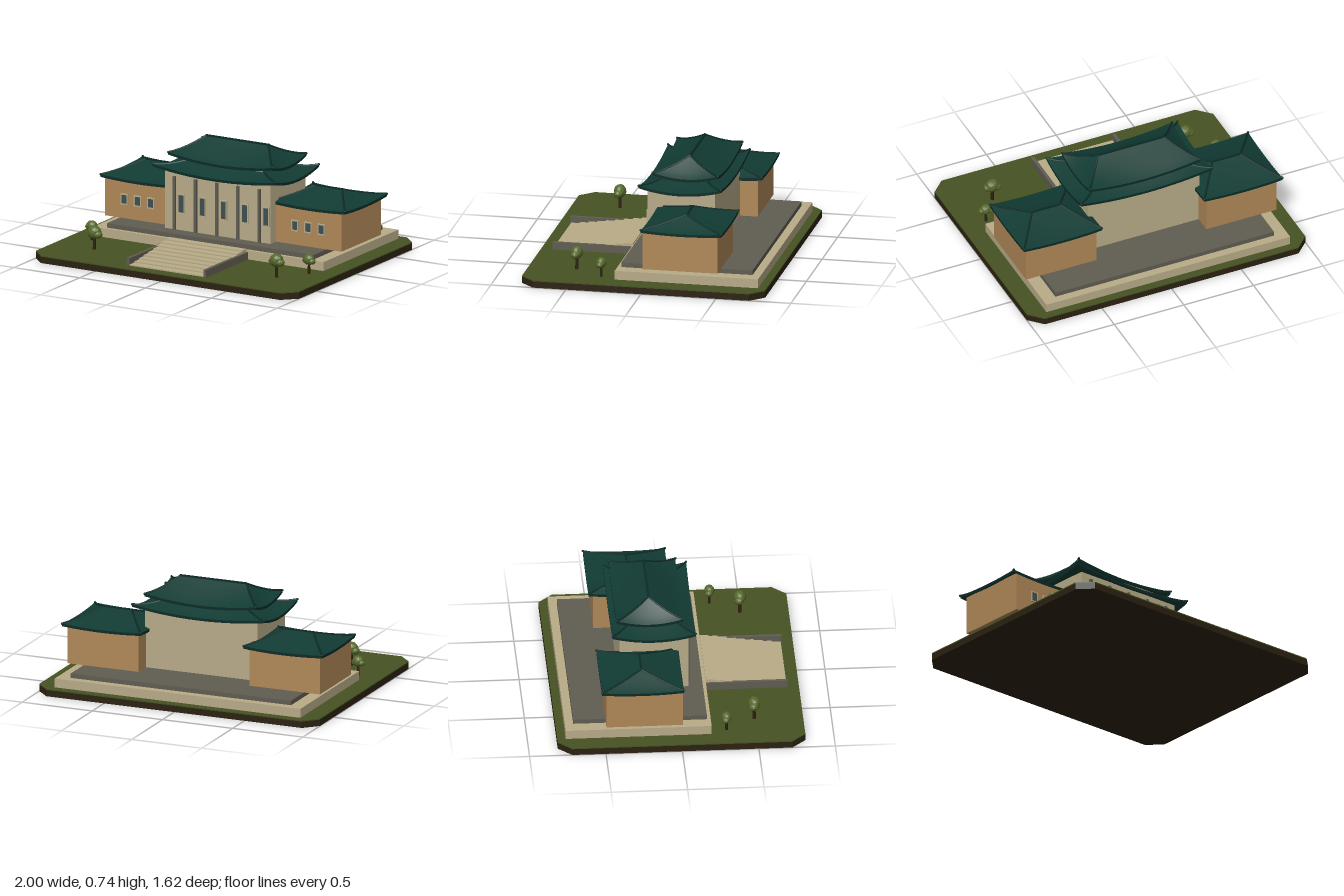
import * as THREE from 'three';

const mat = (name, color, extra = {}) => Object.assign(new THREE.MeshStandardMaterial({ color, ...extra }), { name });
const M = {
  soil: mat('soil', 0x2b2110),
  grass: mat('grass', 0x465222),
  cream: mat('cream stone', 0xb8ab88),
  gray: mat('gray stone', 0x605c52),
  ochre: mat('ochre wall', 0xb08858),
  roof: mat('green roof tile', 0x113b33),
  ridge: mat('dark ridge tile', 0x0b2b27),
  glass: mat('window glass', 0x3d5052),
  trunk: mat('trunk', 0x2e2012),
  leaf: mat('foliage', 0x56682a, { flatShading: true }),
};

function add(parent, name, geo, material, x = 0, y = 0, z = 0) {
  const m = new THREE.Mesh(geo, material);
  m.name = name;
  m.position.set(x, y, z);
  parent.add(m);
  return m;
}

// Box given by its limits on each axis
function block(parent, name, material, x0, x1, y0, y1, z0, z1) {
  return add(parent, name, new THREE.BoxGeometry(x1 - x0, y1 - y0, z1 - z0), material,
    (x0 + x1) / 2, (y0 + y1) / 2, (z0 + z1) / 2);
}

function group(parent, name, x = 0, y = 0, z = 0) {
  const g = new THREE.Group();
  g.name = name;
  g.position.set(x, y, z);
  parent.add(g);
  return g;
}

// Grid surface from a function of (i, j)
function grid(fn, nu, nv, flip) {
  const pos = [], idx = [];
  for (let j = 0; j <= nv; j++) for (let i = 0; i <= nu; i++) pos.push(...fn(i / nu, j / nv));
  for (let j = 0; j < nv; j++) for (let i = 0; i < nu; i++) {
    const a = j * (nu + 1) + i, b = a + 1, d = a + nu + 1, c = d + 1;
    if (flip) idx.push(a, c, b, a, d, c);
    else idx.push(a, b, c, a, c, d);
  }
  const g = new THREE.BufferGeometry();
  g.setAttribute('position', new THREE.Float32BufferAttribute(pos, 3));
  g.setIndex(idx);
  g.computeVertexNormals();
  return g;
}

// Hipped roof with sagging slopes and upswept corners.
// hw, hd: eave half sizes; rw, rd: half sizes at the top; eave, top: heights
function hipRoof(parent, name, { x = 0, z, hw, hd, rw, rd = 0, eave, top, lift, thick = 0.018 }) {
  const g = group(parent, name, x, 0, z);
  const point = (side, u, t, drop = 0) => {
    const X = hw + (rw - hw) * t, Z = hd + (rd - hd) * t;
    const y = eave + (top - eave) * Math.pow(t, 1.12) + lift * u * u * (1 - t) ** 2 - drop;
    return [[u * X, y, Z], [X, y, -u * Z], [-u * X, y, -Z], [-X, y, u * Z]][side];
  };
  ['front', 'left', 'back', 'right'].forEach((label, s) => {
    add(g, label + 'Slope', grid((u, t) => point(s, 2 * u - 1, t), 14, 8), M.roof);
    add(g, label + 'Soffit', grid((u, t) => point(s, 2 * u - 1, t, thick), 14, 8, true), M.roof);
    add(g, label + 'EaveEdge', grid((u, t) => point(s, 2 * u - 1, 0, thick * (1 - t)), 14, 1), M.ridge);
    // Hip rib running down to a corner
    const pts = [0, 0.2, 0.4, 0.6, 0.8, 1].map((t) => new THREE.Vector3(...point(s, 1, t)));
    add(g, label + 'HipRib', new THREE.TubeGeometry(new THREE.CatmullRomCurve3(pts), 12, 0.007, 6), M.ridge);
    add(g, label + 'CornerTip', new THREE.SphereGeometry(0.008, 8, 6), M.ridge, ...point(s, 1, 0));
  });
  if (rd === 0) block(g, 'mainRidge', M.ridge, -rw - 0.005, rw + 0.005, top - 0.008, top + 0.006, -0.007, 0.007);
  return g;
}

// Framed window facing +z, centred at (x, y) on the wall plane z
function windowUnit(parent, x, y, z, w, h) {
  const g = group(parent, 'window', x, y, z);
  for (const s of [-1, 1]) {
    block(g, 'jamb', M.cream, s * w / 2 - 0.004, s * w / 2 + 0.004, -h / 2, h / 2, 0, 0.009);
    block(g, 'rail', M.cream, -w / 2 - 0.004, w / 2 + 0.004, s * h / 2 - 0.004, s * h / 2 + 0.004, 0, 0.009);
  }
  block(g, 'pane', M.glass, -w / 2, w / 2, -h / 2, h / 2, 0, 0.006);
}

function tree(parent, x, z, size) {
  const g = group(parent, 'tree', x, 0.05, z);
  add(g, 'trunk', new THREE.CylinderGeometry(0.008 * size, 0.01 * size, 0.09 * size, 7), M.trunk, 0, 0.045 * size, 0);
  const crown = add(g, 'crown', new THREE.IcosahedronGeometry(0.042 * size, 1), M.leaf, 0, 0.1 * size, 0);
  crown.scale.set(1, 0.95, 0.85);
  for (const s of [-1, 1]) {
    const puff = add(g, 'sidePuff', new THREE.IcosahedronGeometry(0.027 * size, 1), M.leaf,
      s * 0.026 * size, 0.09 * size, s * 0.005 * size);
    puff.scale.y = 0.85;
  }
}

export function createModel() {
  const model = new THREE.Group();
  model.name = 'palaceHall';

  // Ground slab with cut corners
  const c = 0.09, W = 1, D = 0.81;
  const outline = new THREE.Shape([[-W + c, -D], [W - c, -D], [W, -D + c], [W, D - c],
    [W - c, D], [-W + c, D], [-W, D - c], [-W, -D + c]].map((p) => new THREE.Vector2(...p)));
  const slab = (name, h, y, m) => add(model, name,
    new THREE.ExtrudeGeometry(outline, { depth: h, bevelEnabled: false }).rotateX(-Math.PI / 2), m, 0, y, 0);
  slab('soilBase', 0.043, 0, M.soil);
  slab('lawn', 0.007, 0.043, M.grass);

  // Two stepped terraces
  block(model, 'lowerTerrace', M.cream, -0.875, 0.875, 0.05, 0.11, -0.755, 0.2);
  block(model, 'upperTerrace', M.gray, -0.785, 0.785, 0.11, 0.14, -0.7, 0.175);

  // Front stairs between low side walls
  const stairs = group(model, 'stairs'), n = 9;
  for (let i = 0; i < n; i++) {
    const z1 = 0.73 - (i * 0.53) / n;
    block(stairs, 'step', M.cream, -0.29, 0.29, 0.05, 0.05 + (0.07 * (i + 1)) / n, z1 - 0.53 / n, z1);
  }
  for (const s of [-1, 1])
    block(stairs, 'sideWall', M.gray, s * 0.292 - 0.011, s * 0.292 + 0.011, 0.05, 0.1, 0.2, 0.735);

  // Central hall with pilasters and tall windows
  const hall = group(model, 'centralHall');
  block(hall, 'hallWalls', M.cream, -0.4, 0.4, 0.14, 0.535, -0.37, 0.08);
  for (let i = 0; i < 5; i++) {
    const x = -0.325 + i * 0.161;
    block(hall, 'pilaster', M.gray, x - 0.009, x + 0.009, 0.14, 0.5, 0.075, 0.096);
    windowUnit(hall, x + 0.05, 0.32, 0.08, 0.045, 0.125);
  }
  hipRoof(hall, 'lowerRoof', { z: -0.148, hw: 0.47, hd: 0.272, rw: 0.29, rd: 0.13, eave: 0.535, top: 0.592, lift: 0.038 });
  block(hall, 'clerestory', M.ochre, -0.292, 0.292, 0.535, 0.625, -0.295, -0.01);
  hipRoof(hall, 'upperRoof', { z: -0.17, hw: 0.395, hd: 0.218, rw: 0.235, eave: 0.61, top: 0.73, lift: 0.035 });

  // Matching side wings
  for (const s of [-1, 1]) {
    const wing = group(model, s > 0 ? 'leftWing' : 'rightWing');
    const cx = s * 0.647;
    block(wing, 'wingWalls', M.ochre, cx - 0.252, cx + 0.252, 0.14, 0.398, -0.49, 0.01);
    for (const dx of [-0.1, 0, 0.1]) windowUnit(wing, s * 0.648 + dx, 0.27, 0.01, 0.047, 0.066);
    hipRoof(wing, 'wingRoof', { x: cx, z: -0.252, hw: 0.28, hd: 0.268, rw: 0.1, eave: 0.402, top: 0.481, lift: 0.012 });
    // Garden trees
    tree(model, s * 0.825, 0.3, 0.95);
    tree(model, s * 0.692, 0.49, 1.15);
  }
  return model;
}
